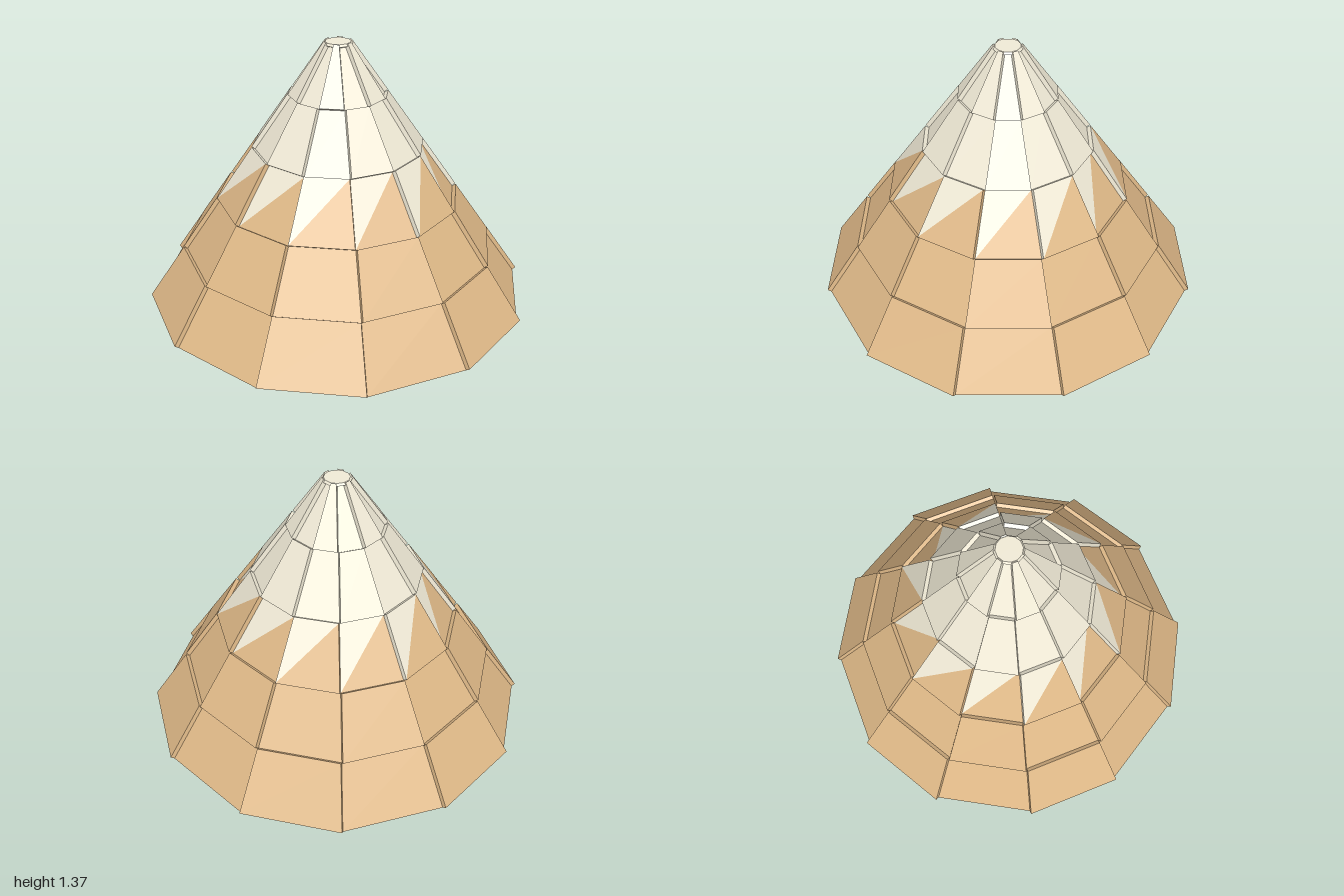
import * as THREE from 'three';

const SIDES = 12, TIERS = 5, STEP = 0.273, BASE_R = 0.983, SLOPE = 0.686, RAISE = 0.022, TOP = 1.355;

const tan = new THREE.MeshStandardMaterial({ color: 0xdeb887, flatShading: true });
const ivory = new THREE.MeshStandardMaterial({ color: 0xf0ead6, flatShading: true });

// Point on the cone at a corner number and height
function corner(i, y) {
  const a = (i / SIDES) * Math.PI * 2, r = BASE_R - SLOPE * y;
  return new THREE.Vector3(Math.sin(a) * r, y, Math.cos(a) * r);
}

function mesh(points, material, name) {
  const geometry = new THREE.BufferGeometry().setFromPoints(points);
  geometry.computeVertexNormals();
  const m = new THREE.Mesh(geometry, material);
  m.name = name;
  return m;
}

// One ring of panels; every second panel is a raised slab
function makeTier(t) {
  const lower = [], upper = []; // triangles below and above each panel's diagonal
  const y0 = t * STEP, y1 = t === TIERS - 1 ? TOP : y0 + STEP;
  for (let k = 0; k < SIDES; k++) {
    const flat = [corner(k, y0), corner(k + 1, y0), corner(k + 1, y1), corner(k, y1)];
    let face = flat;
    if ((k + t) % 2 === 0) {
      const normal = flat[1].clone().sub(flat[0]).cross(flat[3].clone().sub(flat[0])).normalize();
      face = flat.map(p => p.clone().addScaledVector(normal, RAISE));
      // Slab edges: bottom, right, top, left
      for (let e = 0; e < 4; e++) {
        const n = (e + 1) % 4;
        (e < 2 ? lower : upper).push(flat[e], flat[n], face[n], flat[e], face[n], face[e]);
      }
    }
    const [bl, br, tr, tl] = face;
    lower.push(bl, br, tr);
    upper.push(bl, tr, tl);
  }
  const tier = new THREE.Group();
  tier.name = `tier${t + 1}`;
  // The middle tier is the jagged snow line
  tier.add(mesh(lower, t > 2 ? ivory : tan, 'lowerPanels'));
  tier.add(mesh(upper, t > 1 ? ivory : tan, 'upperPanels'));
  return tier;
}

export function createModel() {
  const model = new THREE.Group();
  model.name = 'mountain';
  for (let t = 0; t < TIERS; t++) model.add(makeTier(t));

  // Flat underside
  const base = [];
  for (let k = 0; k < SIDES; k++) base.push(new THREE.Vector3(), corner(k + 1, 0), corner(k, 0));
  model.add(mesh(base, tan, 'base'));

  // Small bevelled summit
  const profile = [[0.055, 1.345], [0.073, 1.354], [0.064, 1.365], [0, 1.365]];
  const summit = new THREE.Mesh(
    new THREE.LatheGeometry(profile.map(p => new THREE.Vector2(...p)), SIDES), ivory);
  summit.name = 'summit';
  model.add(summit);
  return model;
}
